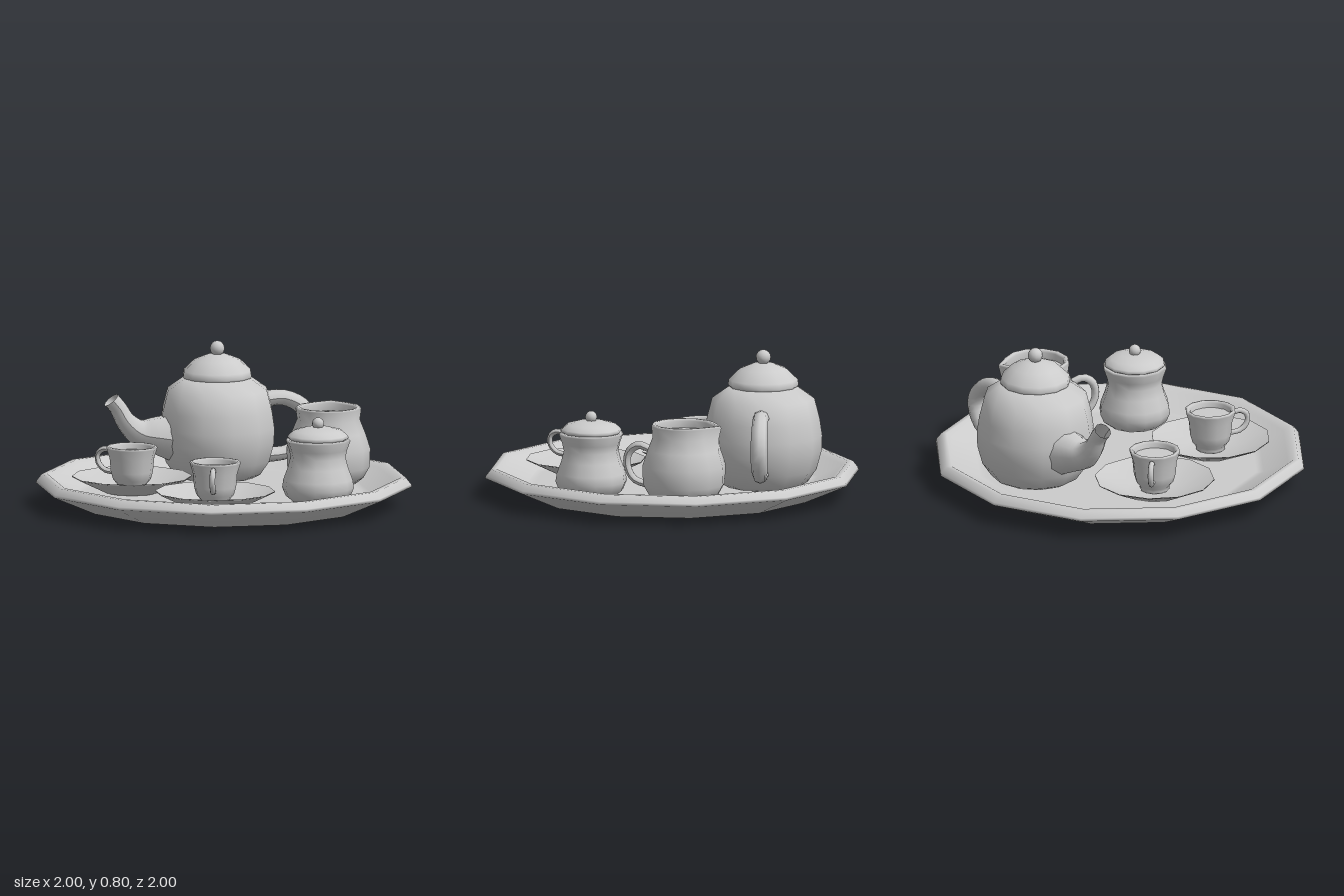
import * as THREE from 'three';

const grey = new THREE.MeshStandardMaterial({ color: 0xcccccc });
const greyDouble = new THREE.MeshStandardMaterial({ color: 0xcccccc, side: THREE.DoubleSide });

function add(parent, name, geometry, material = grey) {
  const mesh = new THREE.Mesh(geometry, material);
  mesh.name = name;
  parent.add(mesh);
  return mesh;
}

// Turned part from [radius, height] pairs, listed from the bottom centre upward
const turned = (profile, sides = 12) =>
  new THREE.LatheGeometry(profile.map(([r, y]) => new THREE.Vector2(r, y)), sides);

// Tube in the local z-y plane through [distance, height, radius] stations
function taperedTube(stations, steps = 14, sides = 8) {
  const curve = new THREE.CatmullRomCurve3(stations.map(([d, y]) => new THREE.Vector3(0, y, d)));
  const radii = new THREE.CatmullRomCurve3(stations.map(([, , r], i) => new THREE.Vector3(i, r, 0)));
  const geometry = new THREE.TubeGeometry(curve, steps, 1, sides);
  const pos = geometry.attributes.position;
  const normal = geometry.attributes.normal;
  for (let i = 0; i < pos.count; i++) {
    const u = Math.floor(i / (sides + 1)) / steps;
    const t = curve.getUtoTmapping(u);
    const centre = curve.getPoint(t);
    const r = radii.getPoint(t).y;
    pos.setXYZ(i, centre.x + normal.getX(i) * r, centre.y + normal.getY(i) * r, centre.z + normal.getZ(i) * r);
  }
  geometry.computeVertexNormals();
  return geometry;
}

function knob(parent, name, radius, y) {
  add(parent, name, new THREE.SphereGeometry(radius, 12, 8)).position.y = y;
}

function place(parent, name, x, z, turn = 0) {
  const group = new THREE.Group();
  group.name = name;
  group.position.set(x, 0, z);
  group.rotation.y = turn;
  parent.add(group);
  return group;
}

function makeTray(parent) {
  add(parent, 'tray', turned([
    [0, 0], [0.74, 0], [0.76, 0.004], [1, 0.108], [0.995, 0.122], [0.968, 0.156],
    [0.94, 0.157], [0.91, 0.138], [0.78, 0.076], [0.74, 0.07], [0, 0.07],
  ]));
}

function makeCupAndSaucer(parent, name, x, z, turn) {
  const set = place(parent, name, x, z, turn);
  add(set, 'saucer', turned([
    [0, 0.072], [0.15, 0.072], [0.318, 0.152], [0.318, 0.158], [0.15, 0.088], [0, 0.086],
  ]));
  add(set, 'cup', turned([
    [0, 0.088], [0.075, 0.088], [0.08, 0.1], [0.078, 0.112], [0.1, 0.138], [0.112, 0.18], [0.118, 0.25],
    [0.135, 0.305], [0.134, 0.315], [0.122, 0.316], [0.11, 0.305], [0.105, 0.25], [0.1, 0.2],
  ]));
  add(set, 'drink', turned([[0.108, 0.282], [0, 0.282]]));
  add(set, 'cupHandle', taperedTube([
    [0.115, 0.275, 0.014], [0.16, 0.29, 0.015], [0.202, 0.265, 0.015],
    [0.202, 0.215, 0.015], [0.165, 0.178, 0.015], [0.105, 0.168, 0.014],
  ]));
}

function makeCreamer(parent) {
  const jug = place(parent, 'creamer', 0.535, -0.29);
  const body = turned([
    [0, 0.07], [0.14, 0.07], [0.185, 0.105], [0.219, 0.165], [0.223, 0.265], [0.195, 0.35], [0.167, 0.42],
    [0.175, 0.478], [0.17, 0.487], [0.155, 0.487], [0.147, 0.475], [0.145, 0.42], [0.165, 0.35],
  ]);
  // Pull the back of the rim out into a pouring lip
  const pos = body.attributes.position;
  for (let i = 0; i < pos.count; i++) {
    const radius = Math.hypot(pos.getX(i), pos.getZ(i));
    if (pos.getZ(i) < -0.95 * radius) {
      pos.setZ(i, pos.getZ(i) - 0.04 * THREE.MathUtils.smoothstep(pos.getY(i), 0.33, 0.45));
    }
  }
  add(jug, 'creamerBody', body);
  add(jug, 'cream', turned([[0.152, 0.44], [0, 0.44]]));
  add(jug, 'creamerHandle', taperedTube([
    [0.19, 0.335, 0.02], [0.26, 0.355, 0.022], [0.315, 0.315, 0.022],
    [0.325, 0.24, 0.021], [0.285, 0.17, 0.02], [0.2, 0.145, 0.02],
  ]));
}

function makeSugarBowl(parent) {
  const bowl = place(parent, 'sugarBowl', 0.517, 0.25);
  add(bowl, 'sugarBowlBody', turned([
    [0, 0.07], [0.14, 0.07], [0.172, 0.095], [0.191, 0.14], [0.184, 0.185], [0.16, 0.25],
    [0.146, 0.305], [0.155, 0.345], [0.172, 0.392], [0.165, 0.402], [0, 0.402],
  ]));
  add(bowl, 'sugarBowlLid', turned([
    [0, 0.4], [0.155, 0.4], [0.163, 0.41], [0.158, 0.422], [0.13, 0.446], [0.07, 0.462], [0, 0.466],
  ]));
  knob(bowl, 'sugarBowlKnob', 0.032, 0.484);
}

function makeTeapot(parent) {
  // Local +z points along the spout
  const pot = place(parent, 'teapot', -0.07, -0.495, Math.atan2(-0.94, 0.34));
  add(pot, 'teapotBody', turned([
    [0, 0.07], [0.2, 0.07], [0.235, 0.09], [0.283, 0.16], [0.31, 0.26], [0.313, 0.34],
    [0.3, 0.43], [0.272, 0.54], [0.18, 0.605], [0, 0.605],
  ]));
  add(pot, 'teapotLid', turned([
    [0, 0.6], [0.18, 0.6], [0.188, 0.612], [0.183, 0.642], [0.125, 0.698], [0.055, 0.726], [0, 0.73],
  ]));
  knob(pot, 'teapotKnob', 0.04, 0.76);
  add(pot, 'spout', taperedTube([
    [0.22, 0.29, 0.14], [0.33, 0.305, 0.105], [0.43, 0.325, 0.075],
    [0.505, 0.39, 0.054], [0.545, 0.46, 0.046], [0.585, 0.508, 0.046],
  ], 16, 10), greyDouble);
  add(pot, 'teapotHandle', taperedTube([
    [-0.25, 0.475, 0.045], [-0.37, 0.478, 0.042], [-0.475, 0.42, 0.044], [-0.515, 0.33, 0.045],
    [-0.47, 0.235, 0.043], [-0.38, 0.185, 0.038], [-0.25, 0.175, 0.042],
  ], 18, 8));
}

export function createModel() {
  const model = new THREE.Group();
  model.name = 'teaSet';
  makeTray(model);
  makeTeapot(model);
  makeCreamer(model);
  makeSugarBowl(model);
  makeCupAndSaucer(model, 'frontCupSet', -0.013, 0.5, 0);
  makeCupAndSaucer(model, 'sideCupSet', -0.487, 0.035, THREE.MathUtils.degToRad(-114));
  return model;
}
